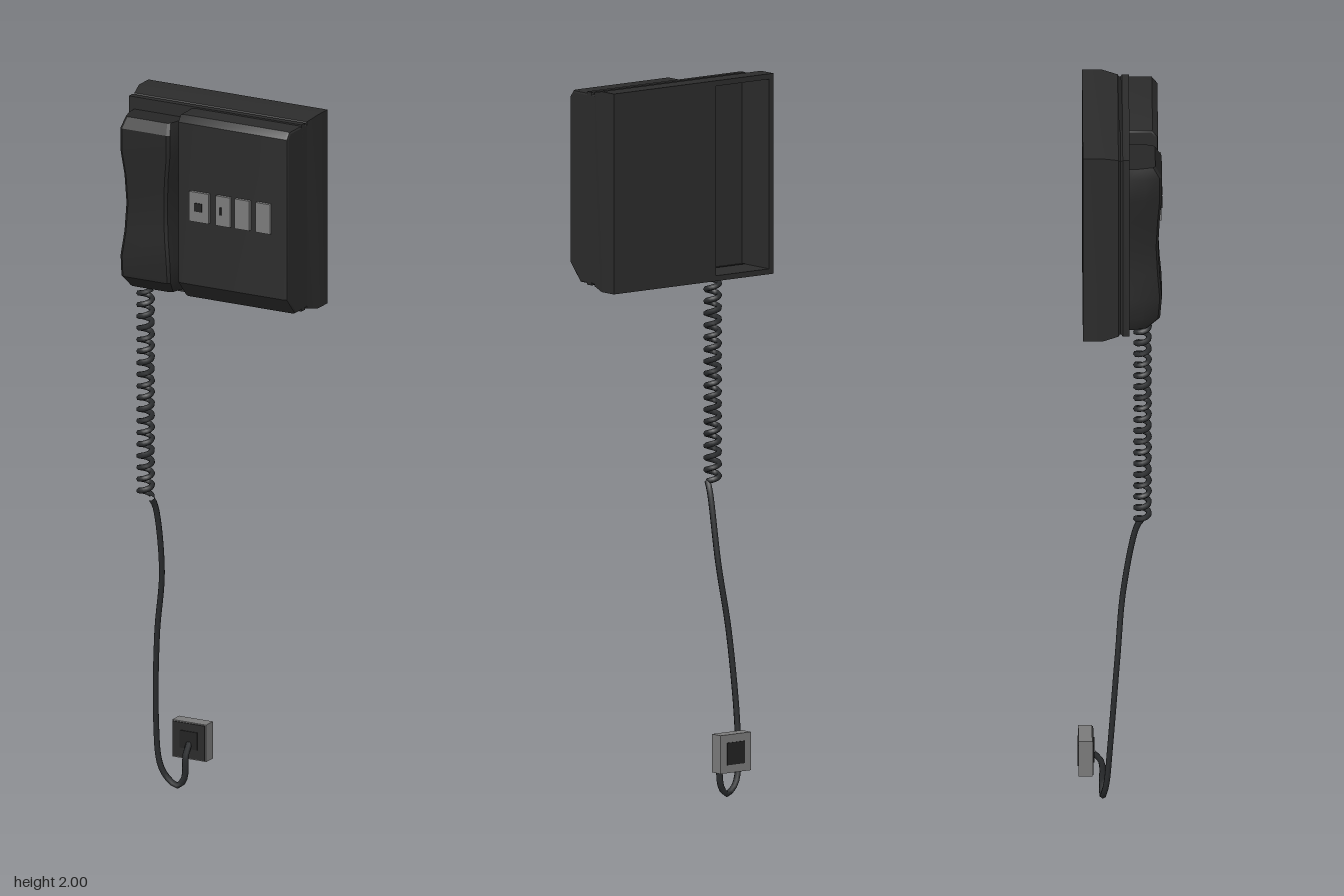
import * as THREE from 'three';
import { toCreasedNormals } from 'three/addons/utils/BufferGeometryUtils.js';

const material = (name, color) => {
  const m = new THREE.MeshStandardMaterial({ color });
  m.name = name;
  return m;
};

// Skin a list of equal-length point rings, optionally closing both ends.
function loft(rings, startCap = true, endCap = true) {
  const pos = [];
  const tri = (a, b, c) => pos.push(...a, ...b, ...c);
  const n = rings[0].length;
  for (let r = 0; r < rings.length - 1; r++) {
    const a = rings[r], b = rings[r + 1];
    for (let i = 0; i < n; i++) {
      const j = (i + 1) % n;
      tri(a[i], a[j], b[j]);
      tri(a[i], b[j], b[i]);
    }
  }
  const last = rings[rings.length - 1];
  for (let i = 1; i < n - 1; i++) {
    if (startCap) tri(rings[0][0], rings[0][i + 1], rings[0][i]);
    if (endCap) tri(last[0], last[i], last[i + 1]);
  }
  const g = new THREE.BufferGeometry();
  g.setAttribute('position', new THREE.Float32BufferAttribute(pos, 3));
  return toCreasedNormals(g, 0.5);
}

// Rectangle ring facing +z; swapping x0 and x1 turns it inward.
const rect = (x0, x1, y0, y1, z) => [[x0, y0, z], [x1, y0, z], [x1, y1, z], [x0, y1, z]];

export function createModel() {
  const black = material('black plastic', 0x2b2b2b);
  const dark = material('dark handset plastic', 0x262626);
  const cordMat = material('cord rubber', 0x2a2c2e);
  const grey = material('grey plastic', 0x7a7a7a);
  const mark = material('dark marking', 0x222222);

  const group = new THREE.Group();
  const add = (name, geometry, mat, x = 0, y = 0, z = 0, parent = group) => {
    const mesh = new THREE.Mesh(geometry, mat);
    mesh.name = name;
    mesh.position.set(x, y, z);
    parent.add(mesh);
    return mesh;
  };
  const box = (name, w, h, d, mat, x, y, z) =>
    add(name, new THREE.BoxGeometry(w, h, d), mat, x, y, z);

  // Wall housing: inset, z for each step, with a shallow groove round the middle
  const steps = [[0, -0.103], [0, -0.05], [0.01, -0.006], [0.017, 0], [0.01, 0.006], [0.01, 0.025]];
  add('housing', loft(steps.map(([s, z]) =>
    rect(-0.28 + s, 0.28 - s, 1.445 + s, 2 - s, z)), false, true), black);

  // Back face with the cable recess behind the handset
  const back = new THREE.Shape();
  back.moveTo(-0.28, 1.445).lineTo(0.28, 1.445).lineTo(0.28, 2).lineTo(-0.28, 2).closePath();
  const hole = new THREE.Path();
  hole.moveTo(-0.265, 1.46).lineTo(-0.265, 1.985).lineTo(-0.078, 1.985).lineTo(-0.078, 1.46).closePath();
  back.holes.push(hole);
  const backFace = new THREE.ShapeGeometry(back);
  backFace.rotateY(Math.PI).scale(-1, 1, 1);
  // The mirrored face needs its corner order reversed
  const order = backFace.index.array;
  for (let i = 0; i < order.length; i += 3) [order[i], order[i + 1]] = [order[i + 1], order[i]];
  backFace.computeVertexNormals();
  const n = backFace.attributes.normal;
  if (n.getZ(0) > 0) {
    for (let i = 0; i < order.length; i += 3) [order[i], order[i + 1]] = [order[i + 1], order[i]];
    backFace.computeVertexNormals();
  }
  add('backFace', backFace, black, 0, 0, -0.103);
  add('backRecess', loft([-0.103, 0.015].map(z =>
    rect(-0.078, -0.265, 1.46, 1.985, z)), false, true), black);

  // Raised front panel: side profile swept across, slanted at the bottom
  const profile = new THREE.Shape();
  [[-0.01, 1.463], [0.055, 1.463], [0.097, 1.51], [0.097, 1.965], [0.085, 1.98], [-0.01, 1.98]]
    .forEach(([z, y], i) => (i ? profile.lineTo(-z, y) : profile.moveTo(-z, y)));
  const panel = new THREE.ExtrudeGeometry(profile, {
    depth: 0.325, bevelEnabled: true, bevelThickness: 0.01, bevelSize: 0.006, bevelSegments: 2,
  });
  panel.rotateY(Math.PI / 2);
  add('frontPanel', toCreasedNormals(panel, 0.6), black, -0.065, 0, 0);

  // Handset: [height, half width, front depth], waisted in the middle
  const grip = [
    [1.465, 0.076, 0.075], [1.5, 0.087, 0.108], [1.56, 0.087, 0.113], [1.63, 0.078, 0.107],
    [1.71, 0.074, 0.103], [1.79, 0.078, 0.107], [1.86, 0.087, 0.113], [1.925, 0.087, 0.113],
    [1.955, 0.08, 0.095],
  ];
  add('handset', loft(grip.map(([y, w, f]) => [
    [w - 0.018, y, f], [w - 0.01, y, f - 0.006], [w, y, f - 0.045], [w, y, 0.022],
    [-w, y, 0.022], [-w, y, f - 0.045], [-w + 0.01, y, f - 0.006], [-w + 0.018, y, f],
  ])), dark, -0.173);

  // Keys on the front panel
  [[-0.002, 0.06], [0.073, 0.045], [0.133, 0.045], [0.198, 0.045]].forEach(([x, w]) =>
    box('key', w, 0.085, 0.012, grey, x, 1.735, 0.107));
  box('keyMark', 0.024, 0.024, 0.003, mark, -0.004, 1.735, 0.114);
  box('keyMark', 0.006, 0.022, 0.003, mark, 0.066, 1.735, 0.114);

  // Coiled cord
  const coil = [], turns = 18, perTurn = 10;
  for (let i = 0; i <= turns * perTurn; i++) {
    const a = (i / perTurn) * Math.PI * 2;
    coil.push(new THREE.Vector3(-0.198 + 0.018 * Math.cos(a),
      1.46 - 0.6 * i / (turns * perTurn), 0.06 + 0.018 * Math.sin(a)));
  }
  add('coiledCord', new THREE.TubeGeometry(new THREE.CatmullRomCurve3(coil), 360, 0.008, 6), cordMat);

  // Straight cord dropping to the wall socket
  const path = [
    [-0.18, 0.86, 0.06], [-0.176, 0.835, 0.045], [-0.176, 0.64, 0.008], [-0.2, 0.45, -0.008],
    [-0.214, 0.2, -0.027], [-0.208, 0.07, -0.038], [-0.188, 0.028, -0.046], [-0.158, 0.01, -0.049],
    [-0.138, 0.035, -0.05], [-0.135, 0.1, -0.052], [-0.137, 0.128, -0.075],
  ].map(p => new THREE.Vector3(...p));
  add('straightCord', new THREE.TubeGeometry(new THREE.CatmullRomCurve3(path), 60, 0.009, 6), cordMat);

  // Wall socket
  box('socket', 0.106, 0.106, 0.038, grey, -0.138, 0.134, -0.096);
  box('socketFace', 0.1, 0.1, 0.004, black, -0.138, 0.134, -0.076);
  box('socketPort', 0.055, 0.05, 0.004, mark, -0.138, 0.137, -0.073);
  box('socketBack', 0.062, 0.062, 0.003, mark, -0.138, 0.134, -0.1155);

  return group;
}
